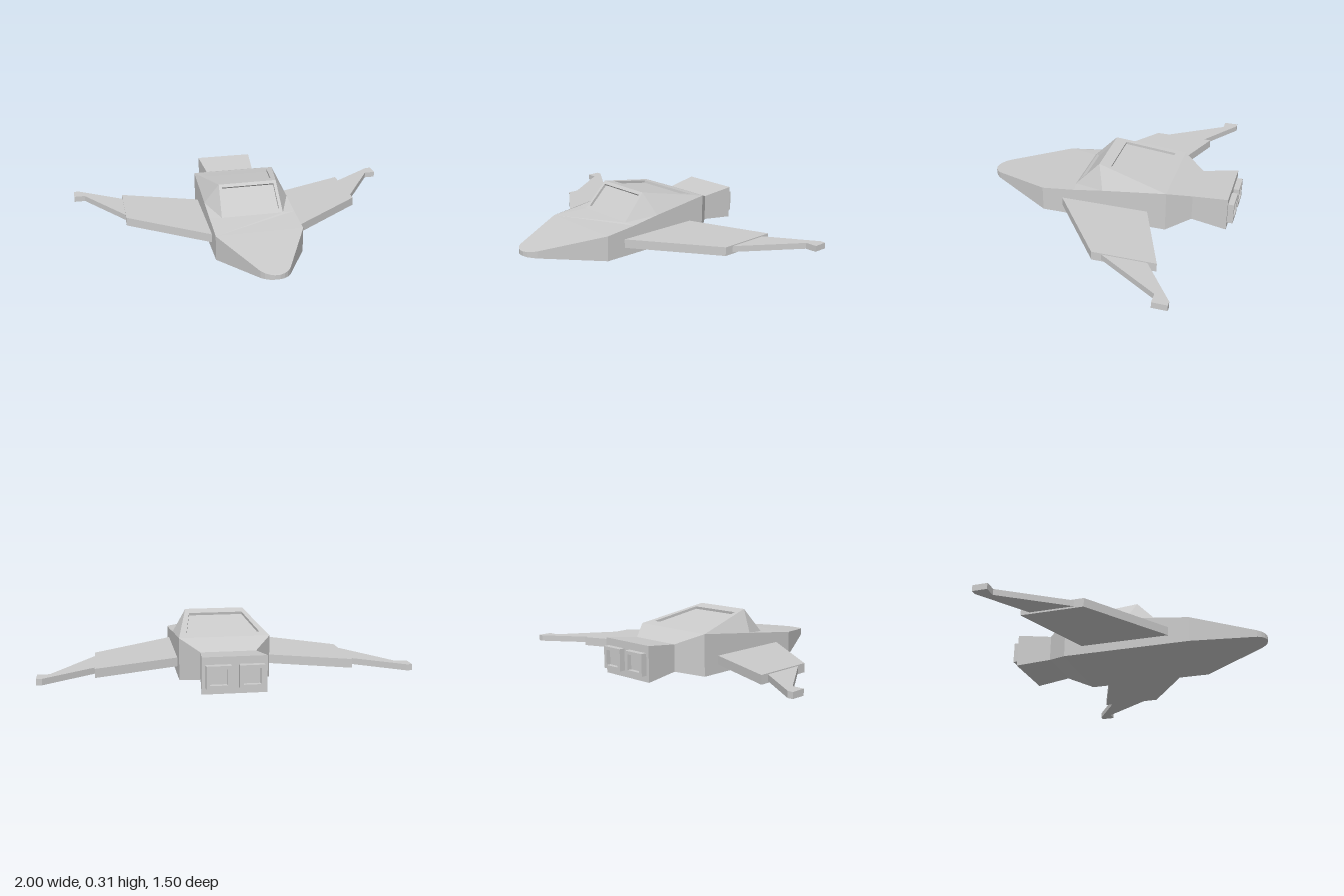
import * as THREE from 'three';

const material = new THREE.MeshStandardMaterial({ color: 0xcccccc, flatShading: true });

function makeMesh(name, geometry) {
  const mesh = new THREE.Mesh(geometry, material);
  mesh.name = name;
  return mesh;
}

// Mesh from convex polygons, each listed counter-clockwise from outside
function polyMesh(name, polygons) {
  const pos = [];
  for (const p of polygons) {
    for (let i = 1; i < p.length - 1; i++) pos.push(...p[0], ...p[i], ...p[i + 1]);
  }
  const geometry = new THREE.BufferGeometry();
  geometry.setAttribute('position', new THREE.Float32BufferAttribute(pos, 3));
  geometry.computeVertexNormals();
  return makeMesh(name, geometry);
}

const flip = ([x, y, z]) => [-x, y, z];
const mirror = (polygon) => polygon.map(flip).reverse();

// Rectangular cross-sections [z, halfWidth, bottom, top], front to back
function loft(sections, capFront, capBack) {
  const rings = sections.map(([z, w, y0, y1]) => [[w, y1, z], [-w, y1, z], [-w, y0, z], [w, y0, z]]);
  const out = [];
  for (let s = 0; s < rings.length - 1; s++) {
    const a = rings[s], b = rings[s + 1];
    for (let i = 0; i < 4; i++) {
      const j = (i + 1) % 4;
      out.push([a[j], a[i], b[i], b[j]]);
    }
  }
  if (capFront) out.push(rings[0]);
  if (capBack) out.push([...rings[rings.length - 1]].reverse());
  return out;
}

// Four-cornered panel with a recess; margins are fractions of its width and height
function recessedPanel(corners, mu, mv0, mv1, depth) {
  const o = corners.map((c) => new THREE.Vector3(...c));
  const at = (u, v) => o[0].clone().lerp(o[1], u).lerp(o[3].clone().lerp(o[2], u), v);
  const inner = [at(mu, mv0), at(1 - mu, mv0), at(1 - mu, 1 - mv1), at(mu, 1 - mv1)];
  const normal = o[1].clone().sub(o[0]).cross(o[3].clone().sub(o[0])).normalize();
  const floor = inner.map((p) => p.clone().addScaledVector(normal, -depth));
  const out = [floor];
  for (let i = 0; i < 4; i++) {
    const j = (i + 1) % 4;
    out.push([o[i], o[j], inner[j], inner[i]], [inner[i], inner[j], floor[j], floor[i]]);
  }
  return out;
}

// Flat plate from a plan outline of [x, z] points
function plate(name, outline, y0, y1, side) {
  const shape = new THREE.Shape(outline.map(([x, z]) => new THREE.Vector2(side * x, -z)));
  const geometry = new THREE.ExtrudeGeometry(shape, { depth: y1 - y0, bevelEnabled: false });
  geometry.rotateX(-Math.PI / 2).translate(0, y0, 0);
  return makeMesh(name, geometry);
}

export function createModel() {
  const group = new THREE.Group();

  // Tapered nose with a rounded tip
  group.add(polyMesh('nose', loft([
    [0.747, 0.015, 0.062, 0.088],
    [0.738, 0.04, 0.06, 0.09],
    [0.722, 0.062, 0.058, 0.092],
    [0.7, 0.08, 0.055, 0.095],
    [0.35, 0.25, 0, 0.145],
  ], true, false)));

  // Cabin corners on the left half
  const windowBase = [0.18, 0.167, 0.167];
  const roofFront = [0.17, 0.315, 0.027];
  const roofBack = [0.25, 0.235, -0.385];
  const sillFront = [0.25, 0.165, 0.157];
  const sillMid = [0.25, 0.19, -0.015];
  const deck = [0.25, 0.145, 0.35];
  const keelFront = [0.25, 0, 0.35];
  const keelBack = [0.25, 0, -0.385];

  // Body: sides, cheeks beside the cabin, front deck and belly
  const half = [
    [keelFront, keelBack, roofBack, sillMid, sillFront, deck],
    [windowBase, sillFront, sillMid],
    [windowBase, sillMid, roofFront],
    [roofFront, sillMid, roofBack],
  ];
  group.add(polyMesh('body', [
    ...half,
    ...half.map(mirror),
    [flip(deck), deck, sillFront, windowBase, flip(windowBase), flip(sillFront)],
    [keelFront, flip(keelFront), flip(keelBack), keelBack],
  ]));

  // Recessed windows
  group.add(polyMesh('windscreen', recessedPanel(
    [flip(windowBase), windowBase, roofFront, flip(roofFront)], 0.05, 0.12, 0.1, 0.015)));
  group.add(polyMesh('roofWindow', recessedPanel(
    [flip(roofFront), roofFront, roofBack, flip(roofBack)], 0.075, 0.16, 0.135, 0.015)));

  // Waisted engine block
  group.add(polyMesh('engineBlock', loft([
    [-0.385, 0.25, 0, 0.235],
    [-0.515, 0.15, 0.035, 0.185],
    [-0.717, 0.17, 0.015, 0.21],
  ], false, true)));

  for (const side of [1, -1]) {
    const label = side > 0 ? 'left' : 'right';

    // Hollow square nozzle
    const w = 0.065, y0 = 0.05, y1 = 0.17, z = -0.75;
    const nozzle = polyMesh(label + 'Nozzle', [
      ...loft([[-0.71, w, y0, y1], [z, w, y0, y1]], false, false),
      ...recessedPanel([[w, y0, z], [-w, y0, z], [-w, y1, z], [w, y1, z]], 0.15, 0.15, 0.15, 0.025),
    ]);
    nozzle.position.x = side * 0.086;
    group.add(nozzle);

    // Thick inner wing and thinner swept outer wing with a squared tip
    group.add(plate(label + 'InnerWing',
      [[0.24, 0.237], [0.705, -0.1], [0.705, -0.453], [0.24, -0.275]], 0.05, 0.1, side));
    group.add(plate(label + 'OuterWing',
      [[0.69, -0.135], [0.705, -0.155], [0.935, -0.5], [1, -0.5], [1, -0.583], [0.97, -0.583],
        [0.705, -0.403], [0.69, -0.393]], 0.06, 0.094, side));
  }
  return group;
}
